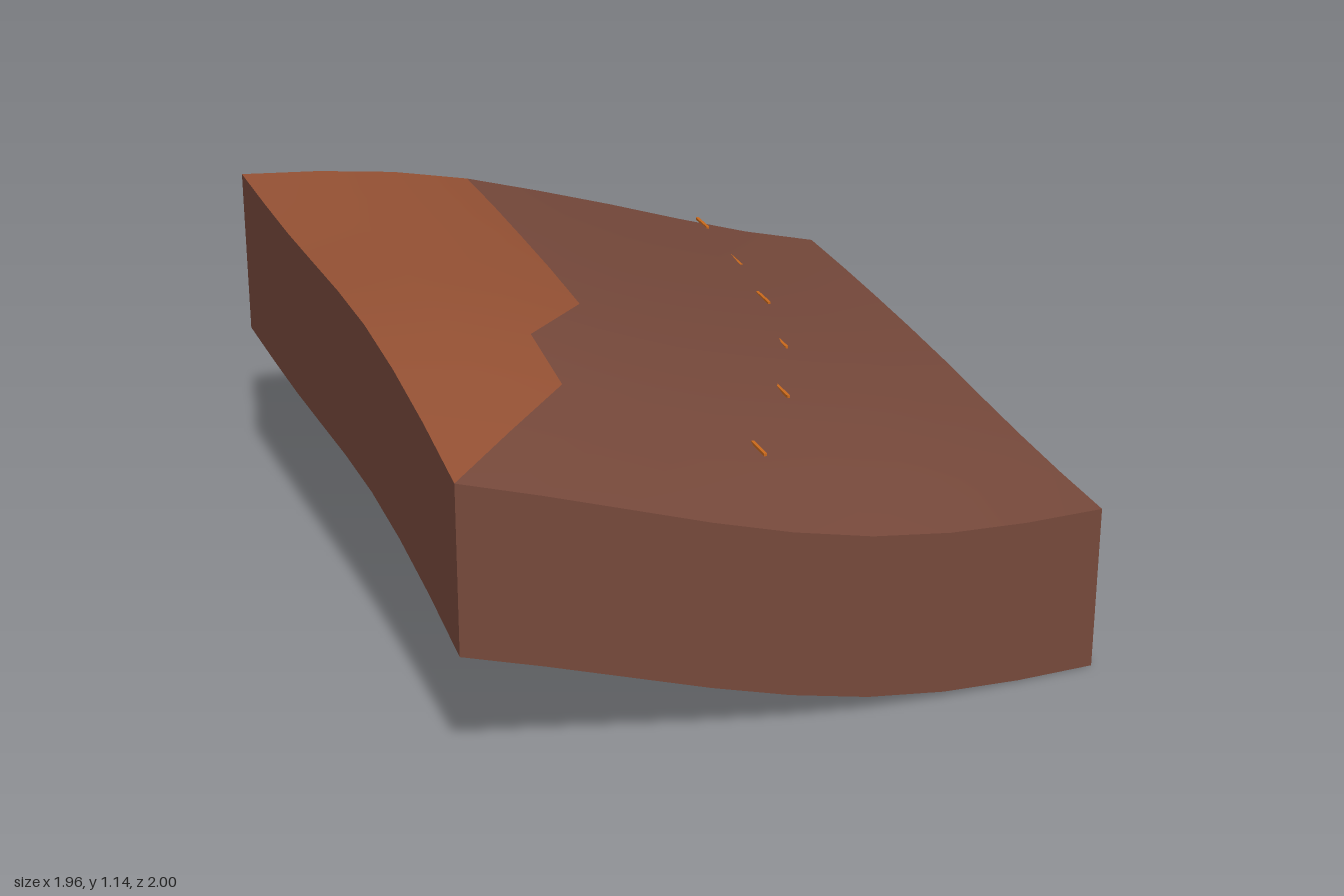
import * as THREE from 'three';

const N = 8, X0 = -0.978, Z0 = -0.96, STEP = 1.958 / N, DROP = 0.52;

// Edge heights: x edges run from -x to +x, z edges run from back to front
const FRONT = [0.99, 0.905, 0.815, 0.725, 0.645, 0.582, 0.543, 0.525, 0.52];
const BACK = [1.137, 1.11, 1.07, 1.01, 0.93, 0.845, 0.755, 0.67, 0.6];
const LOW = [0.6, 0.598, 0.592, 0.583, 0.57, 0.552, 0.536, 0.525, 0.52];
const HIGH = [1.137, 1.13, 1.127, 1.133, 1.14, 1.135, 1.105, 1.055, 0.99];

// Cells of each row (back to front) in the clay colour; halves end on a diagonal
const CLAY = [3, 3, 3, 3, 2.5, 2, 1.5, 0.5];

const mix = (a, b, t) => a + (b - a) * t;

// Surface blended between the four edges, with a soft swell in the middle
function height(i, j) {
  const u = i / N, t = j / N;
  const across = mix(BACK[i], FRONT[i], t);
  const along = mix(HIGH[j], LOW[j], u);
  const corners = mix(mix(BACK[0], BACK[N], u), mix(FRONT[0], FRONT[N], u), t);
  const swell = 0.88 * u * (1 - u) * t * (1 - t) * (1.25 - 0.5 * u);
  return across + along - corners + swell;
}

const point = (i, j) => [X0 + i * STEP, height(i, j), Z0 + j * STEP];

function makeGeometry(positions, index) {
  const g = new THREE.BufferGeometry();
  g.setAttribute('position', new THREE.Float32BufferAttribute(positions, 3));
  g.setIndex(index);
  g.computeVertexNormals();
  return g;
}

// Ground surface with two colour areas sharing smooth normals
function groundGeometry() {
  const positions = [], clay = [], soil = [];
  for (let j = 0; j <= N; j++) {
    for (let i = 0; i <= N; i++) positions.push(...point(i, j));
  }
  for (let j = 0; j < N; j++) {
    for (let i = 0; i < N; i++) {
      const a = j * (N + 1) + i, b = a + N + 1;
      (i + 0.5 <= CLAY[j] ? clay : soil).push(a, b, a + 1);
      (i + 1 <= CLAY[j] ? clay : soil).push(b, b + 1, a + 1);
    }
  }
  const g = makeGeometry(positions, [...soil, ...clay]);
  g.addGroup(0, soil.length, 0);
  g.addGroup(soil.length, clay.length, 1);
  return g;
}

// Side wall hanging from one edge of the ground
function wallGeometry(cell) {
  const positions = [], index = [];
  for (let k = 0; k <= N; k++) {
    const [x, y, z] = point(...cell(k));
    positions.push(x, y - DROP, z, x, y, z);
    if (k < N) {
      const a = 2 * k;
      index.push(a, a + 2, a + 3, a, a + 3, a + 1);
    }
  }
  return makeGeometry(positions, index);
}

export function createModel() {
  const group = new THREE.Group();
  group.name = 'terrainTile';
  const material = (name, color) => {
    const m = new THREE.MeshStandardMaterial({ color, side: THREE.DoubleSide });
    m.name = name;
    return m;
  };
  const soil = material('brownSoil', 0x784a3c);
  const clay = material('redClay', 0x985335);
  const orange = material('orangeMarker', 0xcc6a1c);
  const add = (name, geometry, mat) => {
    const mesh = new THREE.Mesh(geometry, mat);
    mesh.name = name;
    group.add(mesh);
    return mesh;
  };

  add('ground', groundGeometry(), [soil, clay]);

  // Walls run counterclockwise seen from above
  add('frontWall', wallGeometry(k => [k, N]), soil);
  add('lowWall', wallGeometry(k => [N, N - k]), soil);
  add('backWall', wallGeometry(k => [N - k, 0]), soil);
  add('highWall', wallGeometry(k => [0, k]), soil);

  // Row of trail dashes following the slope: x, y, z
  const dashes = [
    [0.04, 0.747, 0.675], [0.265, 0.741, 0.345], [0.41, 0.736, 0.02],
    [0.5, 0.735, -0.305], [0.55, 0.726, -0.63], [0.575, 0.728, -0.955],
  ];
  const dash = new THREE.BoxGeometry(0.009, 0.008, 0.09);
  dashes.forEach((p, n) => add(`trailDash${n + 1}`, dash, orange).position.set(...p));

  return group;
}
